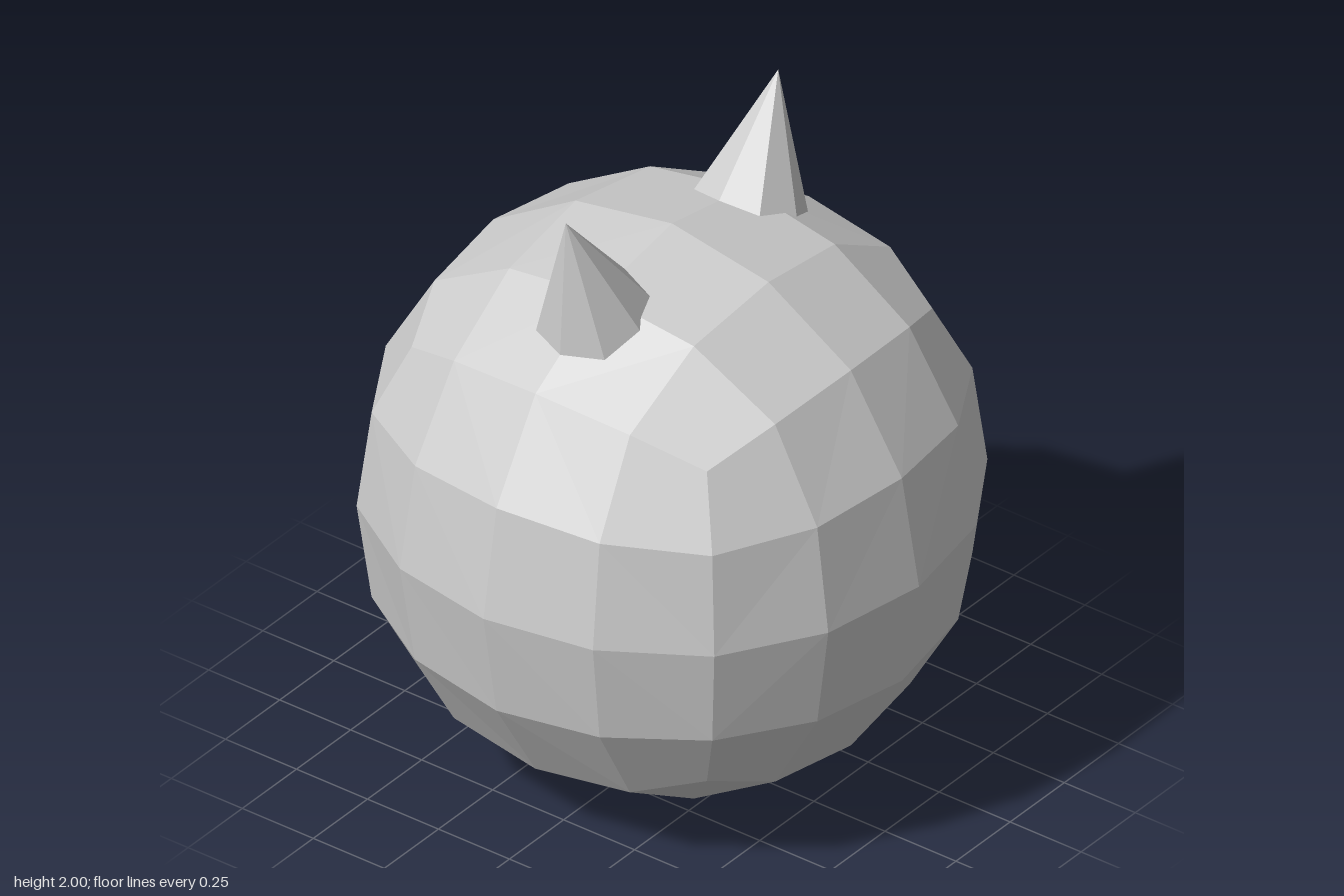
import * as THREE from 'three';

const grey = new THREE.MeshStandardMaterial({ color: 0xcccccc, flatShading: true });
grey.name = 'light grey';

// Sideways offset and height of a grid point on one rounded cube face,
// indexed by its distance in steps from the face centre.
const SIDE = [[0, 0, 0], [0.34, 0.325, 0.31], [0.63, 0.6, 0.52]];
const HEIGHT = [[0.87, 0.81, 0.63], [0.81, 0.76, 0.6], [0.63, 0.6, 0.52]];

// Ball made of six 4 x 4 faces, like a subdivided cube
function quadBall() {
  const positions = [];
  const point = (axis, sign, i, j) => {
    const a = Math.abs(i), b = Math.abs(j), p = [0, 0, 0];
    p[axis] = sign * HEIGHT[a][b];
    p[(axis + 1) % 3] = sign * Math.sign(i) * SIDE[a][b];
    p[(axis + 2) % 3] = Math.sign(j) * SIDE[b][a];
    return p;
  };
  for (let axis = 0; axis < 3; axis++) {
    for (const sign of [1, -1]) {
      for (let i = -2; i < 2; i++) {
        for (let j = -2; j < 2; j++) {
          const a = point(axis, sign, i, j), b = point(axis, sign, i + 1, j);
          const c = point(axis, sign, i + 1, j + 1), d = point(axis, sign, i, j + 1);
          positions.push(...a, ...b, ...c, ...a, ...c, ...d);
        }
      }
    }
  }
  const geometry = new THREE.BufferGeometry();
  geometry.setAttribute('position', new THREE.Float32BufferAttribute(positions, 3));
  geometry.computeVertexNormals();
  return geometry;
}

export function createModel() {
  const model = new THREE.Group();
  model.name = 'hornedBall';

  const body = new THREE.Mesh(quadBall(), grey);
  body.name = 'body';
  body.position.y = 0.871;
  model.add(body);

  // Two eight-sided horns leaning outward, pivoting on their tips
  const length = 0.44, halfAngle = THREE.MathUtils.degToRad(23);
  const hornGeometry = new THREE.ConeGeometry(length * Math.tan(halfAngle), length, 8);
  hornGeometry.translate(0, -length / 2, 0);
  for (const side of [1, -1]) {
    const horn = new THREE.Mesh(hornGeometry, grey);
    horn.name = side > 0 ? 'leftHorn' : 'rightHorn';
    horn.position.set(side * 0.49, 2, 0);
    horn.rotation.z = -side * THREE.MathUtils.degToRad(19.5);
    model.add(horn);
  }
  return model;
}
